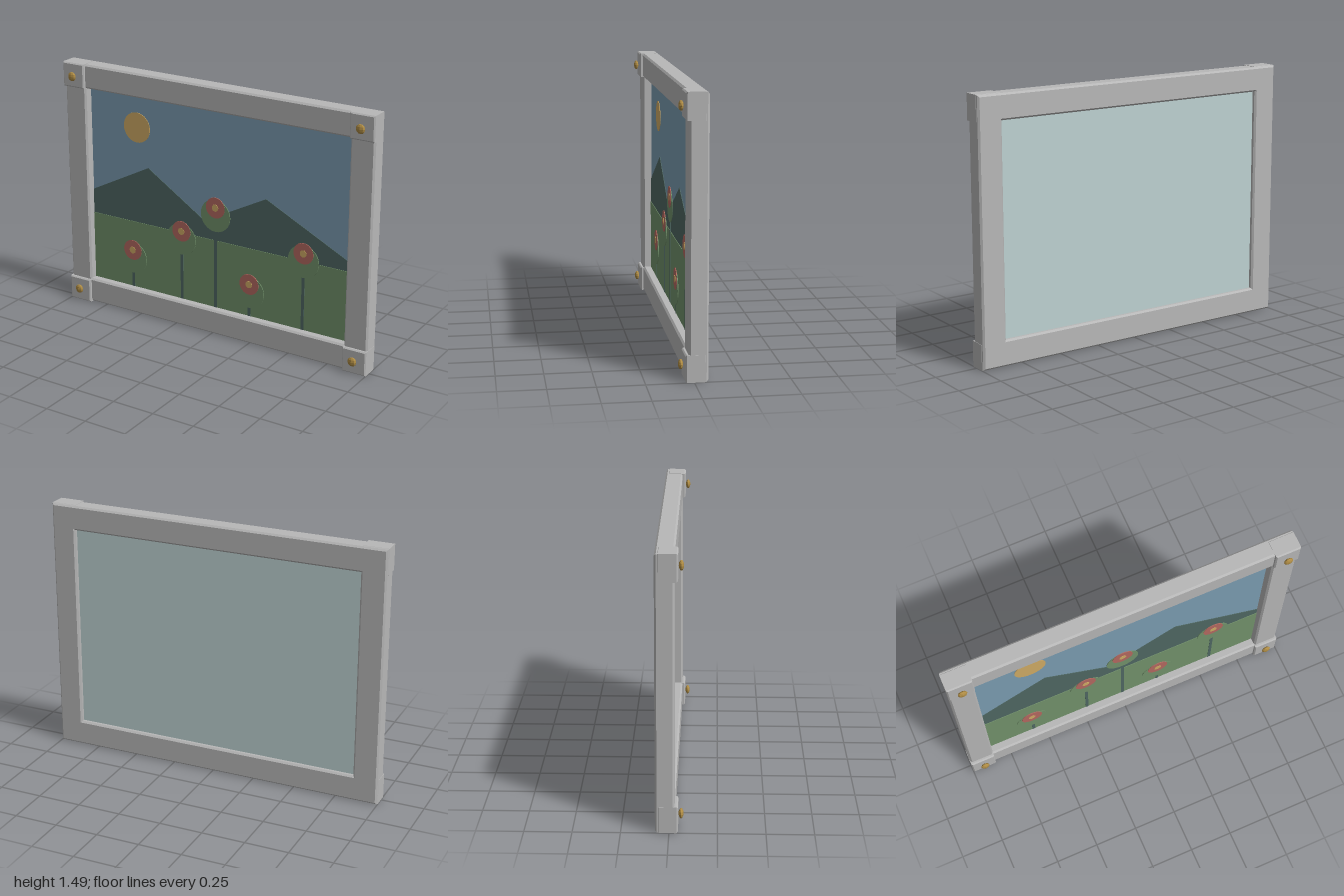
import * as THREE from 'three';

const mat = (name, color) => {
  const m = new THREE.MeshStandardMaterial({ color });
  m.name = name;
  return m;
};

export function createModel() {
  const root = new THREE.Group();
  const frameGrey = mat('frameGrey', 0xb8b8b8);
  const backing = mat('backingPaleTeal', 0xbed3d3);
  const skyBlue = mat('skyBlue', 0x7c9eb3);
  const hillTeal = mat('hillTeal', 0x506964);
  const grass = mat('grassGreen', 0x73936c);
  const petalRed = mat('petalRed', 0xb56a61);
  const sunGold = mat('sunGold', 0xd2ad66);
  const brass = mat('brass', 0xb08d45);

  const add = (name, geo, material, x = 0, y = 0, z = 0) => {
    const m = new THREE.Mesh(geo, material);
    m.name = name;
    m.position.set(x, y, z);
    root.add(m);
    return m;
  };
  const poly = (pts) => new THREE.Shape(pts.map(([x, y]) => new THREE.Vector2(x, y)));
  const rect = (x0, y0, x1, y1) => poly([[x0, y0], [x1, y0], [x1, y1], [x0, y1]]);
  // Solid between z0 and z1 with chamfered edges kept inside the outline
  const chamfered = (shape, z0, z1, b) => new THREE.ExtrudeGeometry(shape, {
    depth: z1 - z0 - 2 * b, bevelEnabled: true, bevelSegments: 1,
    bevelSize: b, bevelThickness: b, bevelOffset: -b,
  }).translate(0, 0, z0 + b);
  // Thin flat plate
  const plate = (shape, t = 0.004) =>
    new THREE.ExtrudeGeometry(shape, { depth: t, bevelEnabled: false, curveSegments: 16 });
  const disc = (r) => plate(new THREE.Shape().absarc(0, 0, r, 0, Math.PI * 2));

  // Frame with an open middle
  const H = 1.487, W = 0.145;
  const outline = rect(-0.998, 0.002, 0.998, H - 0.002);
  outline.holes.push(rect(-1 + W, W + 0.005, 1 - W, H - W));
  add('frame', chamfered(outline, -0.073, 0.029, 0.01), frameGrey);

  // Raised corner blocks with faceted studs
  const block = chamfered(rect(-W / 2, -W / 2, W / 2, W / 2), -0.06, 0.046, 0.007);
  const stud = new THREE.SphereGeometry(0.027, 8, 6).toNonIndexed();
  stud.scale(1, 1, 0.5);
  stud.computeVertexNormals();
  for (const sx of [-1, 1]) {
    for (const y of [W / 2, H - W / 2]) {
      add('cornerBlock', block, frameGrey, sx * (1 - W / 2), y, 0);
      add('cornerStud', stud, brass, sx * 0.925, y + (y < 1 ? 0.006 : -0.004), 0.061);
    }
  }

  // Backing panel and painted landscape
  const X = 0.87, Y0 = 0.13, Y1 = 1.36;
  add('backPanel', new THREE.BoxGeometry(2 * X, Y1 - Y0, 0.02), backing, 0, (Y0 + Y1) / 2, -0.038);
  add('sky', plate(rect(-X, Y0, X, Y1)), skyBlue, 0, 0, -0.028);
  add('sun', disc(0.09), sunGold, -0.535, 1.147, -0.025);
  add('hills', plate(poly([
    [-X, Y0], [X, Y0], [X, 0.61], [0.325, 0.88], [-0.078, 0.67], [-0.46, 0.915], [-X, 0.705],
  ])), hillTeal, 0, 0, -0.025);
  add('meadow', plate(rect(-X, Y0, X, 0.565)), grass, 0, 0, -0.022);

  // Flowers: stem, leafy disc, petals and centre
  const leaf = disc(0.097), petals = disc(0.062), centre = disc(0.021);
  for (const [x, y] of [[-0.575, 0.383], [-0.23, 0.575], [0, 0.765], [0.225, 0.347], [0.57, 0.612]]) {
    add('stem', plate(rect(-0.009, Y0, 0.009, y - 0.1)), hillTeal, x, 0, -0.02);
    add('leafDisc', leaf, grass, x, y - 0.048, -0.018);
    add('petals', petals, petalRed, x, y, -0.016);
    add('flowerCentre', centre, sunGold, x, y, -0.014);
  }
  return root;
}
